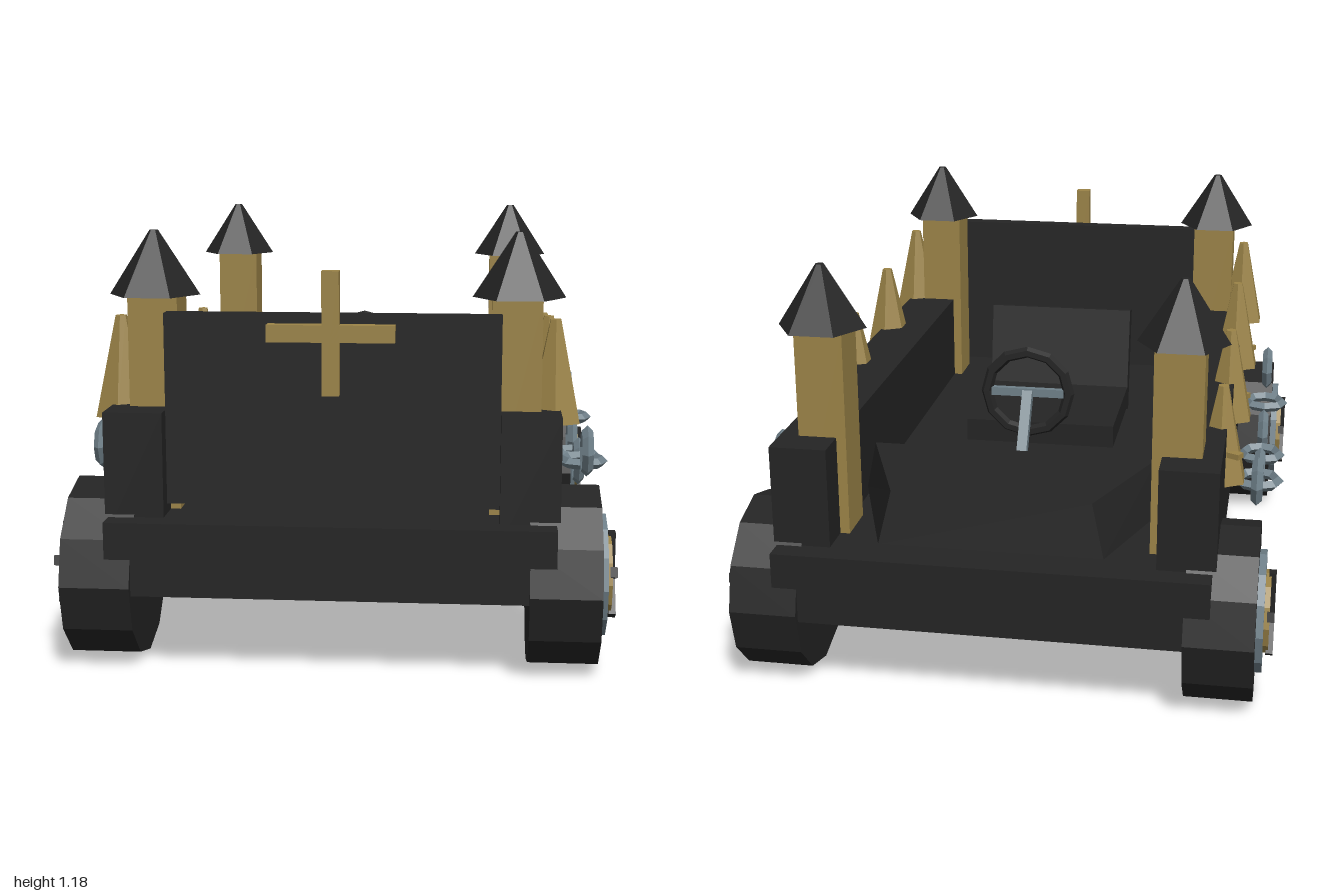
import * as THREE from 'three';

export function createModel() {
  const root = new THREE.Group();
  const mat = (name, color) => {
    const m = new THREE.MeshStandardMaterial({ color, flatShading: true });
    m.name = name;
    return m;
  };
  const black = mat('black', 0x242424);
  const gold = mat('gold', 0x9b8347);
  const steel = mat('steel', 0x6f8089);

  const add = (name, geo, material, x = 0, y = 0, z = 0, parent = root) => {
    const m = new THREE.Mesh(geo, material);
    m.name = name;
    m.position.set(x, y, z);
    parent.add(m);
    return m;
  };
  const box = (w, h, d) => new THREE.BoxGeometry(w, h, d);

  // Chassis slab
  add('chassis', box(1.2, 0.2, 1.96), black, 0, 0.325, 0);

  // Front plate with its gold cross
  add('frontPlate', box(0.9, 0.52, 0.05), black, 0, 0.712, 0.835);
  add('crossUpright', box(0.046, 0.33, 0.036), gold, 0, 0.925, 0.88);
  add('crossBar', box(0.34, 0.046, 0.036), gold, 0, 0.925, 0.88);

  // Rear hood: tapered block, narrower at the rear and at the top
  const hoodGeo = box(1, 1, 1);
  const p = hoodGeo.attributes.position;
  for (let i = 0; i < p.count; i++) {
    const top = p.getY(i) > 0, rear = p.getZ(i) < 0;
    const half = (rear ? 0.31 : 0.45) - (top ? 0.035 : 0);
    const z = rear ? (top ? -0.9 : -0.92) : (top ? -0.54 : -0.52);
    p.setXYZ(i, Math.sign(p.getX(i)) * half, top ? 0.6 : 0.45, z);
  }
  hoodGeo.computeVertexNormals();
  add('hood', hoodGeo, black);

  // Seat, facing the rear hood
  add('seatCushion', box(0.47, 0.07, 0.42), black, 0, 0.495, 0.11);
  add('seatBack', box(0.47, 0.34, 0.055), black, 0, 0.615, 0.345).rotation.x = 0.18;

  // Steering wheel, spokes and sloping column
  add('steeringWheel', new THREE.TorusGeometry(0.125, 0.017, 6, 12), black, 0, 0.705, -0.315);
  add('steeringSpoke', box(0.22, 0.025, 0.018), steel, 0, 0.705, -0.315);
  const a = new THREE.Vector3(0, 0.43, -0.5), b = new THREE.Vector3(0, 0.705, -0.315);
  const column = add('steeringColumn', box(0.03, a.distanceTo(b), 0.03), steel, 0, 0.5675, -0.4075);
  column.quaternion.setFromUnitVectors(new THREE.Vector3(0, 1, 0), b.clone().sub(a).normalize());

  // Shared wheel geometry, axle along x
  const disc = (r, w, n) => new THREE.CylinderGeometry(r, r, w, n).rotateZ(Math.PI / 2);
  const tyreGeo = disc(0.25, 0.19, 12);
  const rimGeo = disc(0.17, 0.03, 12);
  const hubGeo = disc(0.115, 0.04, 12);
  const spokeGeo = box(0.02, 0.12, 0.028).translate(0, 0.06, 0);
  const roofGeo = new THREE.CylinderGeometry(0.012, 0.125, 0.175, 6).rotateY(Math.PI / 6);
  const spikeGeo = new THREE.CylinderGeometry(0.016, 0.078, 0.28, 6);
  const linkGeo = new THREE.TorusGeometry(0.059, 0.016, 4, 8);

  for (const s of [1, -1]) {
    const side = s > 0 ? 'left' : 'right';

    // Side wall
    add(side + 'Wall', box(0.16, 0.34, 1.82), black, s * 0.53, 0.54, 0);

    for (const e of [1, -1]) {
      // Wheel with steel rim, gold hub and five-spoke star
      const wheel = new THREE.Group();
      wheel.name = side + (e > 0 ? 'Front' : 'Rear') + 'Wheel';
      wheel.position.set(s * 0.625, 0.25, e * 0.75);
      root.add(wheel);
      add('tyre', tyreGeo, black, 0, 0, 0, wheel);
      add('rim', rimGeo, steel, s * 0.1, 0, 0, wheel);
      add('hub', hubGeo, gold, s * 0.11, 0, 0, wheel);
      for (let i = 0; i < 5; i++) {
        add('wheelSpoke', spokeGeo, black, s * 0.133, 0, 0, wheel).rotation.x = i * Math.PI * 0.4;
      }

      // Corner tower
      add('tower', box(0.135, 0.585, 0.135), gold, s * 0.49, 0.7175, e * 0.742);
      add('towerRoof', roofGeo, black, s * 0.495, 1.0975, e * 0.742);
    }

    // Row of spikes, stepping down toward the rear
    for (let i = 0; i < 4; i++) {
      add('spike', spikeGeo, gold, s * 0.595, 0.81 - i * 0.041, 0.725 - i * 0.4175);
    }

    // Small pegs on the wall
    for (const z of [0.49, -0.035, -0.57]) {
      add('peg', box(0.05, 0.016, 0.028), gold, s * 0.63, 0.637, z).rotation.y = s * 0.5;
    }

    // Hanging chain of alternating links
    for (let i = -3; i <= 3; i++) {
      const link = add('chainLink', linkGeo, steel, s * 0.7, 0.43 + 0.0133 * i * i, i * 0.18);
      if (i % 2) link.rotation.y = Math.PI / 2;
      else link.rotation.x = Math.PI / 2;
    }
  }
  return root;
}
